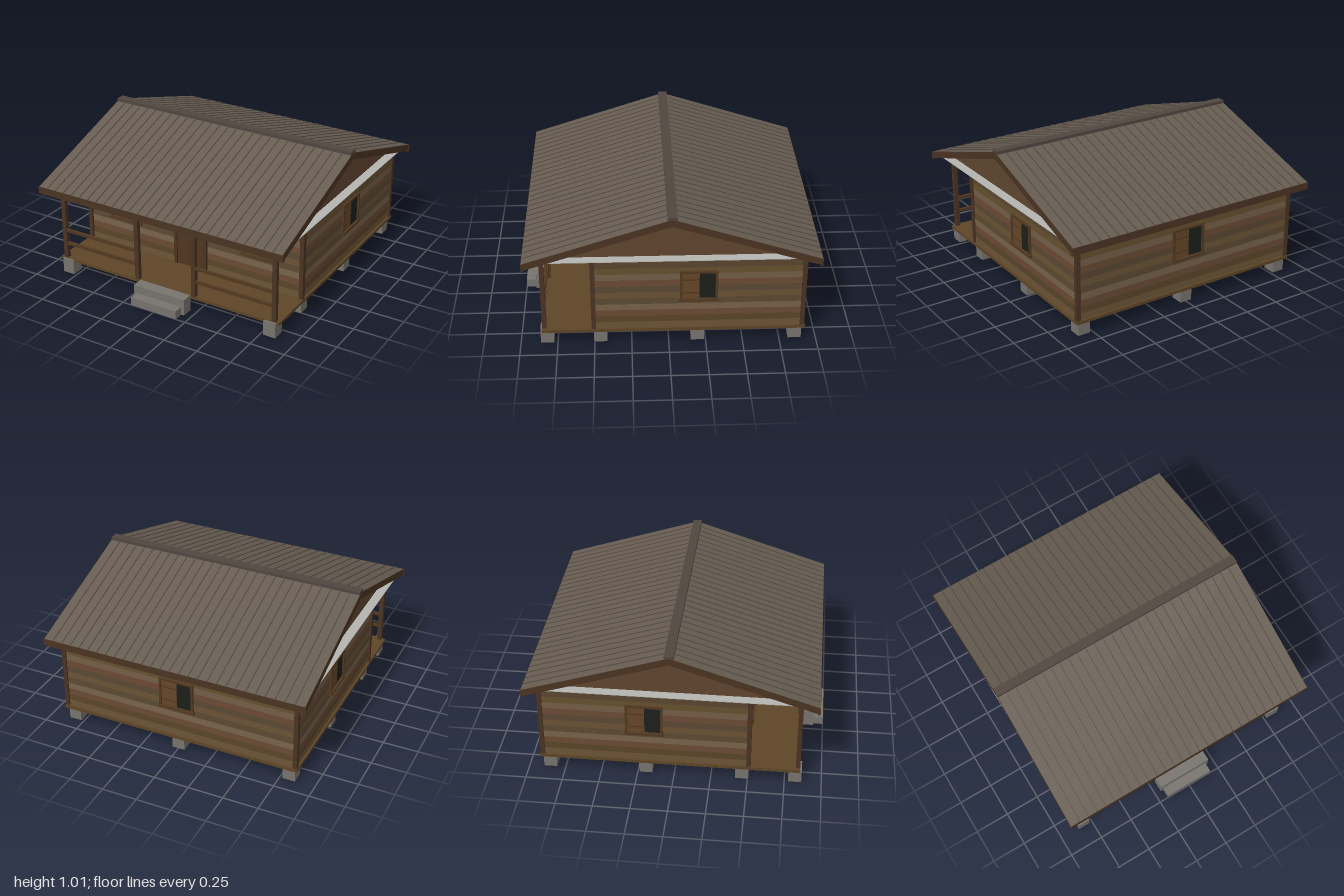
import * as THREE from 'three';

const WOOD = 0x4a3322, TRIM = 0x523820, GABLE = 0x60452f, STONE = 0x77736d;
const ROOF = 0x665c51, GLASS = 0x1c1f1a, DECK = 0x5e4526;
const MID = -0.02;     // z of the ridge
const SLOPE = 0.321, PEAK = 1.003;

export function createModel() {
  const model = new THREE.Group();
  const mats = {};
  const mat = (color) => (mats[color] ??= new THREE.MeshStandardMaterial({ color, flatShading: true }));

  const add = (parent, name, geometry, color) => {
    const mesh = new THREE.Mesh(geometry, mat(color));
    mesh.name = name;
    parent.add(mesh);
    return mesh;
  };
  // Box given by its limits on each axis
  const box = (parent, name, [x0, x1], [y0, y1], [z0, z1], color) => {
    const mesh = add(parent, name, new THREE.BoxGeometry(x1 - x0, y1 - y0, z1 - z0), color);
    mesh.position.set((x0 + x1) / 2, (y0 + y1) / 2, (z0 + z1) / 2);
    return mesh;
  };
  // Prism with a (z, y) outline, running along x
  const prism = (parent, name, points, width, x, color) => {
    const shape = new THREE.Shape(points.map(([z, y]) => new THREE.Vector2(z, y)));
    const geometry = new THREE.ExtrudeGeometry(shape, { depth: width, bevelEnabled: false });
    geometry.translate(0, 0, -width / 2).rotateY(-Math.PI / 2);
    const mesh = add(parent, name, geometry, color);
    mesh.position.set(x, 0, MID);
    return mesh;
  };
  const group = (name) => {
    const g = new THREE.Group();
    g.name = name;
    model.add(g);
    return g;
  };

  // Foundation piers
  const piers = group('foundationPiers');
  for (const x of [-0.815, 0, 0.815])
    for (const z of [0.82, 0.46, -0.195, -0.855])
      box(piers, 'pier', [x - 0.045, x + 0.045], [0, 0.11], [z - 0.045, z + 0.045], STONE);

  // Floor and porch deck
  box(model, 'floorUnderside', [-0.875, 0.875], [0.091, 0.1], [-0.915, 0.847], 0x2e2114);
  box(model, 'deck', [-0.88, 0.88], [0.093, 0.115], [-0.92, 0.852], DECK);

  // Stone steps
  const steps = group('steps');
  box(steps, 'upperStep', [-0.203, 0.2], [0, 0.117], [0.85, 0.932], STONE);
  box(steps, 'lowerStep', [-0.183, 0.178], [0, 0.06], [0.9, 1], STONE);

  // Plank walls, in bands of varied timber
  const walls = group('plankWalls');
  const tones = [0x6b5436, 0x5a4529, 0x6b4a35, 0x77624a, 0x5c4a32, 0x6a5234,
    0x5a4833, 0x6b4a33, 0x735e47, 0x66502f, 0x5a4630, 0x6b5436];
  const plankHeight = (0.682 - 0.115) / tones.length;
  tones.forEach((tone, i) => {
    const y = 0.115 + i * plankHeight;
    box(walls, 'plank', [-0.865, 0.865], [y, y + plankHeight], [-0.905, 0.505], tone);
  });
  for (const x of [-0.862, 0.862])
    for (const z of [-0.9, 0.505])
      box(walls, 'cornerPost', [x - 0.015, x + 0.015], [0.115, 0.682], [z - 0.015, z + 0.015], WOOD);

  // Ceiling and gables
  box(model, 'ceiling', [-0.935, 0.935], [0.68, 0.685], [MID - 0.93, MID + 0.93], 0xb4b4b0);
  for (const x of [-0.86, 0.86])
    prism(model, 'gable', [[-0.93, 0.684], [0.93, 0.684], [0, 0.982]], 0.02, x, GABLE);

  // Roof: a chevron outline of given depth and reach
  const chevron = (top, depth, reach) => {
    const eave = top - SLOPE * reach;
    return [[-reach, eave - depth], [0, top - depth], [reach, eave - depth],
      [reach, eave], [0, top], [-reach, eave]];
  };
  const roof = group('roof');
  prism(roof, 'roofSheets', chevron(PEAK, 0.018, 0.978), 1.9, 0, ROOF);
  for (const x of [-0.945, 0.945])
    prism(roof, 'rakeBoard', chevron(PEAK - 0.001, 0.05, 0.98), 0.014, x, WOOD);
  for (const side of [-1, 1]) {
    const z = MID + side * 0.972;
    box(roof, 'fascia', [-0.957, 0.957], [0.637, 0.688], [z - 0.008, z + 0.008], WOOD);
  }
  for (let i = 1; i < 28; i++)
    prism(roof, 'roofSeam', chevron(PEAK + 0.004, 0.008, 0.976), 0.007, -0.95 + i * 1.9 / 28, 0x544b42);
  box(roof, 'ridgeCap', [-0.95, 0.95], [0.985, 1.015], [MID - 0.032, MID + 0.032], 0x50463f);

  // Porch posts and rails
  const porch = group('porch');
  for (const x of [-0.84, -0.23, 0.225, 0.84])
    box(porch, 'porchPost', [x - 0.016, x + 0.016], [0.115, 0.682], [0.823, 0.853], WOOD);
  for (const [x0, x1] of [[-0.83, -0.24], [0.235, 0.83]])
    for (const y of [0.33, 0.228])
      box(porch, 'porchRail', [x0, x1], [y - 0.01, y + 0.01], [0.832, 0.85], TRIM);

  // Door
  const door = group('door');
  box(door, 'doorPanel', [-0.118, 0.103], [0.115, 0.58], [0.5, 0.515], 0x503620);
  for (const x of [-0.127, 0.112])
    box(door, 'doorJamb', [x - 0.012, x + 0.012], [0.115, 0.595], [0.5, 0.525], WOOD);

  // Windows: half shuttered, half glazed, built facing +z around the origin
  const addWindow = (x, z, turn) => {
    const w = group('window');
    box(w, 'glass', [-0.11, 0.11], [-0.1, 0.1], [-0.01, 0.003], GLASS);
    box(w, 'shutter', [-0.115, 0.003], [-0.1, 0.1], [-0.01, 0.006], 0x664628);
    for (const y of [-0.055, 0.045])
      box(w, 'shutterBatten', [-0.11, 0], [y - 0.005, y + 0.005], [0, 0.009], TRIM);
    for (const s of [-1, 1])
      box(w, 'sideFrame', [s * 0.118 - 0.008, s * 0.118 + 0.008], [-0.105, 0.105], [-0.01, 0.014], TRIM);
    box(w, 'topFrame', [-0.126, 0.126], [0.098, 0.113], [-0.01, 0.014], TRIM);
    box(w, 'sill', [-0.133, 0.133], [-0.118, -0.102], [-0.01, 0.02], TRIM);
    w.position.set(x, 0.447, z);
    w.rotation.y = turn;
  };
  addWindow(-0.55, 0.505, 0);
  addWindow(0.525, 0.505, 0);
  addWindow(0, -0.905, Math.PI);
  addWindow(0.865, -0.2, Math.PI / 2);
  addWindow(-0.865, -0.2, -Math.PI / 2);

  return model;
}
